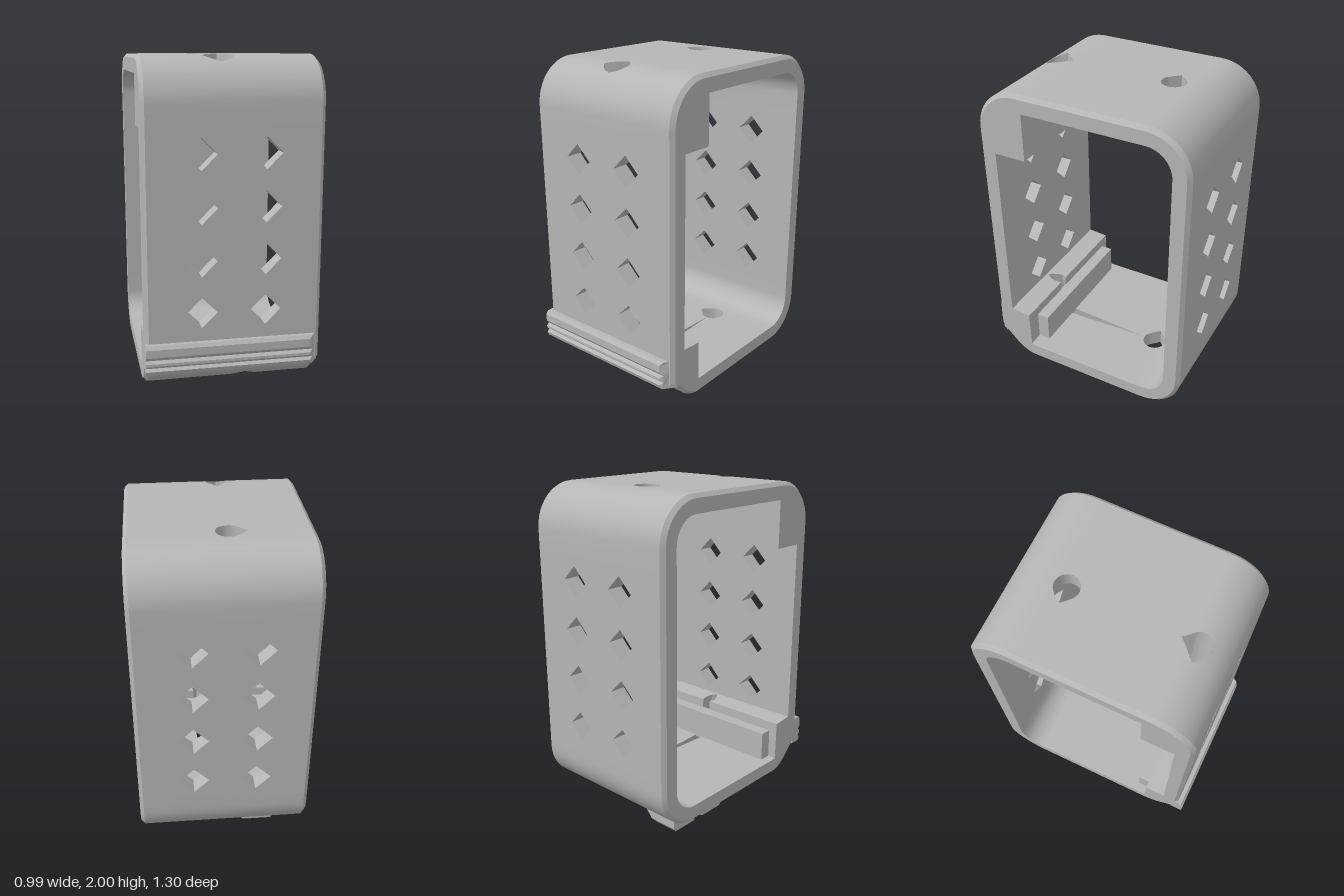
import * as THREE from 'three';
import { toCreasedNormals } from 'three/addons/utils/BufferGeometryUtils.js';

const X = 0.495;        // half width
const BEVEL = 0.022;    // bevel of the outer rim
const HOLE_Y = [0.62, 0.91, 1.2, 1.49];

// Cut-outs [left, right] across x at a point; equal values mean no hole there.
function cuts(p, kind, inner) {
  const [z, y] = p;
  if (kind === 'wall') {
    const h = Math.max(0, ...HOLE_Y.map((c) => 0.087 - Math.abs(y - c)));
    return [[-0.18 - h, -0.18 + h], [0.175 - h, 0.175 + h]];
  }
  const cx = kind === 'top' ? -0.045 : 0.09;
  const d = Math.min(Math.abs(z + 0.3), Math.abs(z - 0.42));
  const s = inner && z > 0.3 ? 0.45 : 1; // screw holes narrow inside the front blocks
  const r = Math.sqrt(Math.max(0, 0.07 ** 2 - d * d));
  const tip = d < 0.05 ? 0.1 - d : r;    // teardrop point
  return [[cx - tip * s, cx + r * s], [0.175, 0.175]];
}

// Stations around the band, each an outer and inner point [z, y].
function bandStations() {
  const list = [];
  const add = (kind, o, i) => list.push({ kind, o, i });
  const ys = [0.5, ...HOLE_Y.flatMap((c) => [c - 0.087, c, c + 0.087]), 1.62];
  const flat = (kind, from, to, yo, yi) => {
    const zs = [from, to];
    for (let k = 0; k <= 14; k++) zs.push(-0.3 + 0.07 * Math.cos((k / 14) * Math.PI));
    zs.sort((a, b) => (to < from ? b - a : a - b));
    zs.forEach((z) => add(kind, [z, yo], [z, yi]));
  };
  const backCorner = (kind, cy, a0) => {
    for (let k = 0; k <= 12; k++) {
      const a = a0 + (k / 12) * Math.PI / 2, c = Math.cos(a), s = Math.sin(a);
      add(kind, [-0.4 + 0.25 * c, cy + 0.25 * s], [-0.4 + 0.15 * c, cy + 0.15 * s]);
    }
  };
  // front wall
  ys.forEach((y) => add('wall', [0.61, y], [0.51, y]));
  // top front corner with its solid block
  for (let k = 0; k <= 20; k++) {
    const a = (k / 20) * Math.PI / 2, z = 0.36 + 0.25 * Math.cos(a);
    add('top', [z, 1.75 + 0.25 * Math.sin(a)], [Math.min(z, 0.51), 1.62]);
  }
  add('top', [0.32, 2], [0.32, 1.62]);
  flat('top', 0.32, -0.4, 2, 1.9);
  backCorner('top', 1.75, Math.PI / 2);
  // back wall
  [...ys].reverse().forEach((y) => add('wall', [-0.65, y], [-0.55, y]));
  backCorner('bottom', 0.4, Math.PI);
  flat('bottom', -0.4, 0.385, 0.15, 0.25);
  // bottom front corner with its solid block
  for (let k = 0; k <= 10; k++) {
    const z = 0.385 + 0.0115 * k;
    add('bottom', [z, 0.15 + 0.06 * ((z - 0.36) / 0.14) ** 2], [z, 0.49 + 0.001 * k]);
  }
  add('bottom', [0.58, 0.29], [0.51, 0.5]);
  add('bottom', [0.61, 0.31], [0.51, 0.5]);
  list.push(list[0]);
  return list;
}

function bandGeometry() {
  const st = bandStations(), pos = [];
  const quad = (a, b, c, d) => pos.push(...a, ...b, ...c, ...a, ...c, ...d);
  const at = (x, p) => [x, p[1], p[0]];
  // outer point moved inward, for the bevelled rim
  const rims = st.map((s, k) => {
    const n = st.length - 1;
    const find = (dir) => {
      let j = k;
      do j = (j + dir + n) % n; while (Math.hypot(st[j].o[0] - s.o[0], st[j].o[1] - s.o[1]) < 1e-4);
      return st[j].o;
    };
    const p = find(-1), q = find(1), tz = q[0] - p[0], ty = q[1] - p[1], l = Math.hypot(tz, ty);
    return [s.o[0] - (ty / l) * BEVEL, s.o[1] + (tz / l) * BEVEL];
  });
  // solid x ranges between the cut-outs
  const spans = (p, kind, inner) => {
    const [a, b] = cuts(p, kind, inner), e = inner ? X : X - BEVEL;
    return [[-e, a[0]], [a[1], b[0]], [b[1], e]];
  };
  for (let k = 0; k < st.length - 1; k++) {
    const s = st[k], t = st[k + 1];
    const so = spans(s.o, s.kind, false), si = spans(s.i, s.kind, true);
    const to = spans(t.o, t.kind, false), ti = spans(t.i, t.kind, true);
    for (let c = 0; c < 3; c++) {
      quad(at(so[c][0], s.o), at(so[c][1], s.o), at(to[c][1], t.o), at(to[c][0], t.o));
      quad(at(si[c][1], s.i), at(si[c][0], s.i), at(ti[c][0], t.i), at(ti[c][1], t.i));
      if (c === 2) continue;
      // hole sides
      const open = Math.max(so[c + 1][0] - so[c][1], to[c + 1][0] - to[c][1]);
      if (open < 1e-4) continue;
      quad(at(so[c][1], s.o), at(si[c][1], s.i), at(ti[c][1], t.i), at(to[c][1], t.o));
      const n = c + 1;
      quad(at(si[n][0], s.i), at(so[n][0], s.o), at(to[n][0], t.o), at(ti[n][0], t.i));
    }
    // bevels and side rims
    const e = X - BEVEL, r = rims[k], q = rims[k + 1];
    quad(at(e, s.o), at(X, r), at(X, q), at(e, t.o));
    quad(at(-X, r), at(-e, s.o), at(-e, t.o), at(-X, q));
    quad(at(X, r), at(X, s.i), at(X, t.i), at(X, q));
    quad(at(-X, s.i), at(-X, r), at(-X, q), at(-X, t.i));
  }
  const g = new THREE.BufferGeometry();
  g.setAttribute('position', new THREE.Float32BufferAttribute(pos, 3));
  return toCreasedNormals(g, 0.5);
}

// Extrudes a [z, y] profile along x, then shifts its +x end by a rule.
function barGeometry(profile, x0, x1, endX = () => x1) {
  const shape = new THREE.Shape(profile.map(([z, y]) => new THREE.Vector2(-z, y)));
  const g = new THREE.ExtrudeGeometry(shape, { depth: x1 - x0, bevelEnabled: false });
  g.rotateY(Math.PI / 2).translate(x0, 0, 0);
  const p = g.attributes.position;
  for (let i = 0; i < p.count; i++) {
    if (p.getX(i) > x1 - 1e-4) p.setX(i, endX(p.getY(i), p.getZ(i)));
  }
  g.computeVertexNormals();
  return g;
}

export function createModel() {
  const group = new THREE.Group();
  const grey = new THREE.MeshStandardMaterial({ color: 0xb6b6b6 });
  grey.name = 'grey plastic';
  const add = (name, geometry) => {
    const mesh = new THREE.Mesh(geometry, grey);
    mesh.name = name;
    group.add(mesh);
  };

  add('band', bandGeometry());

  // ridged rail across the lower front
  add('frontRail', barGeometry([
    [0.57, 0.46], [0.635, 0.46], [0.65, 0.44], [0.65, 0.395], [0.635, 0.375], [0.65, 0.36],
    [0.65, 0.345], [0.635, 0.33], [0.65, 0.315], [0.64, 0.29], [0.57, 0.29],
  ], -X, X, (y, z) => X - Math.max(0, z - 0.6) * 1.3));

  // ledge behind the lower front block
  add('innerLedge', barGeometry(
    [[0.31, 0.24], [0.31, 0.43], [0.39, 0.43], [0.39, 0.24]], -0.44, 0.4));

  // pair of hooked clips under the floor, slanted on one side
  const slant = (y) => -0.165 + 0.145 * Math.min(1, y / 0.15);
  add('frontClip', barGeometry([
    [0.045, 0.16], [0.045, 0.03], [0.03, 0.005], [0.015, 0], [-0.14, 0], [-0.14, 0.045],
    [-0.1, 0.075], [-0.115, 0.125], [-0.09, 0.16],
  ], -0.33, -0.02, slant));
  add('backClip', barGeometry([
    [-0.24, 0.16], [-0.305, 0.125], [-0.28, 0.075], [-0.225, 0.04], [-0.21, 0], [-0.38, 0],
    [-0.395, 0.02], [-0.395, 0.16],
  ], -0.33, -0.02, slant));

  return group;
}
